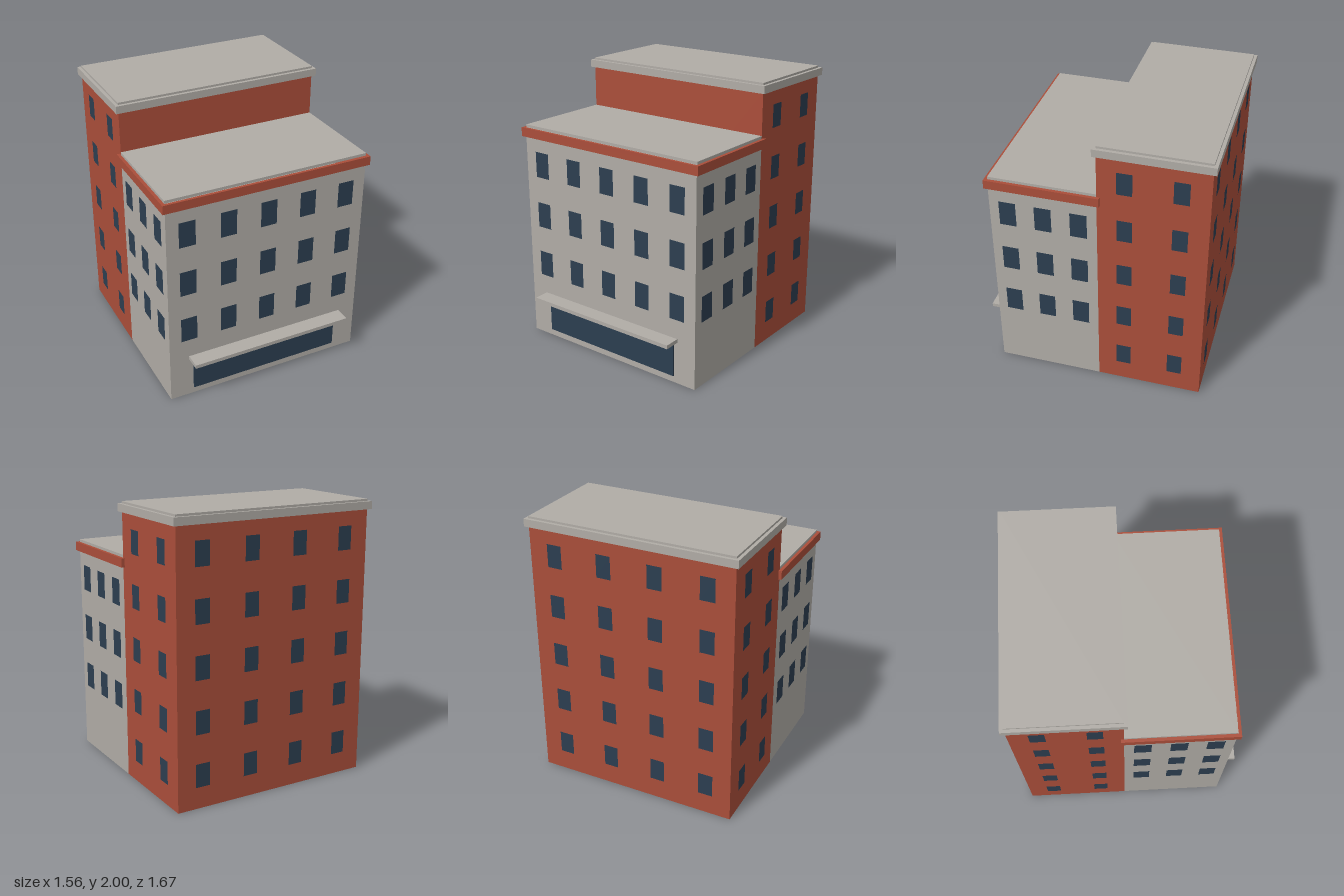
import * as THREE from 'three';

export function createModel() {
  const mat = (name, color) => {
    const m = new THREE.MeshStandardMaterial({ color });
    m.name = name;
    return m;
  };
  const stone = mat('grey stone', 0xb0aca6);
  const brick = mat('red brick', 0xaa4e3a);
  const glass = mat('dark blue glass', 0x2c3e50);

  const model = new THREE.Group();
  model.name = 'building';

  const addGroup = (name) => {
    const g = new THREE.Group();
    g.name = name;
    model.add(g);
    return g;
  };

  // Box given by its extents on each axis
  const addBox = (parent, name, material, [x0, x1], [y0, y1], [z0, z1]) => {
    const mesh = new THREE.Mesh(new THREE.BoxGeometry(x1 - x0, y1 - y0, z1 - z0), material);
    mesh.position.set((x0 + x1) / 2, (y0 + y1) / 2, (z0 + z1) / 2);
    mesh.name = name;
    parent.add(mesh);
  };

  const HALF = 0.757;      // half width of both blocks
  const EAVE = 0.78;       // half width of the cornices
  const FRONT = 0.709, JOIN = -0.053, BACK = -0.81;
  const PROUD = 0.003;     // how far a pane stands off the wall

  // Grid of window panes on one wall; yaw turns the panes to face outward
  const addWindows = (parent, name, w, h, columns, rows, place, yaw) => {
    const geometry = new THREE.PlaneGeometry(w, h);
    for (const y of rows) {
      for (const c of columns) {
        const pane = new THREE.Mesh(geometry, glass);
        const [x, z] = place(c);
        pane.position.set(x, y, z);
        pane.rotation.y = yaw;
        pane.name = name;
        parent.add(pane);
      }
    }
  };
  const addSideWindows = (parent, w, h, columns, rows) => {
    for (const s of [-1, 1]) {
      addWindows(parent, s > 0 ? 'leftWindow' : 'rightWindow', w, h, columns, rows,
        (z) => [s * (HALF + PROUD), z], s * Math.PI / 2);
    }
  };

  // Lower front block with red cornice and grey roof
  const front = addGroup('frontBlock');
  addBox(front, 'frontWalls', stone, [-HALF, HALF], [0, 1.61], [JOIN, FRONT]);
  addBox(front, 'frontCornice', brick, [-EAVE, EAVE], [1.545, 1.61], [-0.075, 0.73]);
  addBox(front, 'frontRoof', stone, [-HALF, HALF], [1.6, 1.63], [JOIN, 0.705]);
  const frontRows = [0.58, 0.964, 1.348];
  addWindows(front, 'frontWindow', 0.121, 0.19, [-2, -1, 0, 1, 2].map((i) => i * 0.303),
    frontRows, (x) => [x, FRONT + PROUD], 0);
  addSideWindows(front, 0.12, 0.19, [0.58, 0.328, 0.076], frontRows);

  // Shopfront glazing and canopy
  const shop = addGroup('shopfront');
  addBox(shop, 'shopWindow', glass, [-0.58, 0.58], [0.05, 0.31], [FRONT, 0.718]);
  addBox(shop, 'canopy', stone, [-0.615, 0.615], [0.32, 0.348], [0.718, 0.833]);

  // Taller rear block with grey cornice and roof
  const tower = addGroup('rearBlock');
  addBox(tower, 'rearWalls', brick, [-HALF, HALF], [0, 1.94], [BACK, JOIN]);
  addBox(tower, 'rearCornice', stone, [-EAVE, EAVE], [1.93, 1.985], [-0.833, -0.03]);
  addBox(tower, 'rearRoof', stone, [-HALF, HALF], [1.975, 2], [BACK, JOIN]);
  const rearRows = [0, 1, 2, 3, 4].map((i) => 0.238 + i * 0.376);
  addWindows(tower, 'backWindow', 0.108, 0.168, [-1.5, -0.5, 0.5, 1.5].map((i) => i * 0.378),
    rearRows, (x) => [x, BACK - PROUD], Math.PI);
  addSideWindows(tower, 0.106, 0.168, [-0.242, -0.618], rearRows);

  return model;
}
